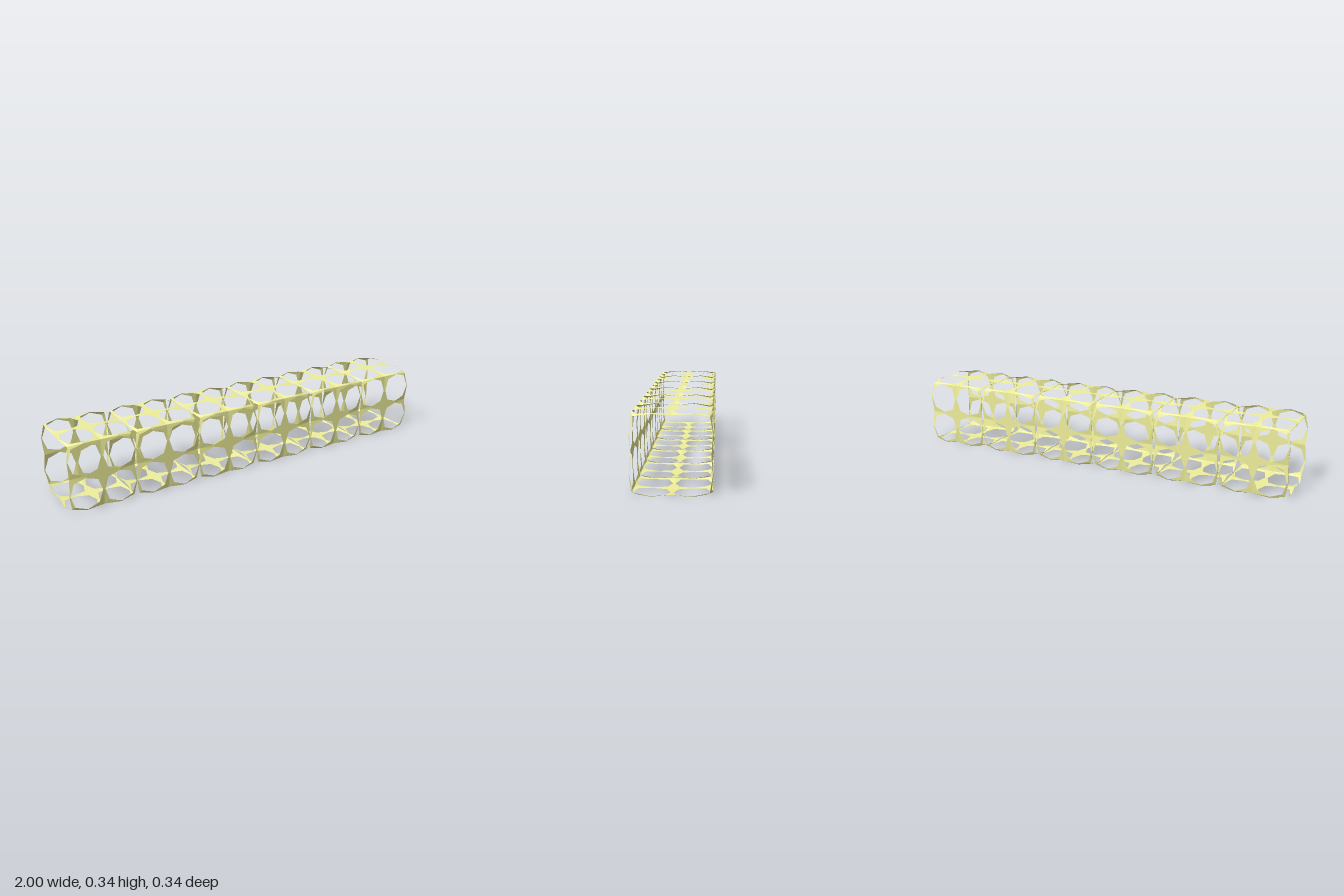
import * as THREE from 'three';

const H = 1 / 6;   // half a cell
const Q = H / 2;   // where the narrow necks sit
const CELLS = 6;

// Points of one quarter of one cell side, as (along, across, outward)
const centre = [0, 0, 0.17], ringMid = [H - 0.007, 0, 0.161];
const longMid = [0, 0.161, 0.161], corner = [H - 0.013, 0.155, 0.155];
// necks between neighbouring holes
const neckA = [Q, 0, 0.17], neckB = [0, Q, 0.17];
const neckRing = [H - 0.001, Q, 0.1685], neckLong = [Q, 0.1665, 0.1665];
const rimNeck = [H, Q, 0.166];
// octagonal hole: four points beside the necks, four towards the star centres
const holeA = [Q, 0.006, 0.17], holeB = [0.006, Q, 0.17];
const holeRing = [H - 0.005, Q, 0.1695], holeLong = [Q, 0.163, 0.169];
const holeCentre = [0.025, 0.025, 0.17], holeRingMid = [H - 0.025, 0.025, 0.166];
const holeLongMid = [0.025, 0.142, 0.166], holeCorner = [H - 0.025, 0.143, 0.163];

// Each fan is a star centre followed by its surrounding points
const fans = [
  [centre, neckA, holeA, holeCentre, holeB, neckB],
  [ringMid, rimNeck, neckRing, holeRing, holeRingMid, holeA, neckA],
  [longMid, neckB, holeB, holeLongMid, holeLong, neckLong],
  [corner, neckLong, holeLong, holeCorner, holeRing, neckRing, rimNeck],
];

function cellGeometry() {
  const positions = [];
  for (let side = 0; side < 4; side++) {
    const c = Math.cos(side * Math.PI / 2), s = Math.sin(side * Math.PI / 2);
    for (const mx of [1, -1]) for (const mu of [1, -1]) {
      // mirror the quarter, then turn it about the long axis
      const put = ([x, u, w]) => positions.push(x * mx, u * mu * c - w * s, u * mu * s + w * c);
      for (const [hub, ...ring] of fans) {
        for (let i = 0; i + 1 < ring.length; i++) {
          const pair = [ring[i], ring[i + 1]];
          if (mx * mu < 0) pair.reverse();
          [hub, ...pair].forEach(put);
        }
      }
    }
  }
  const geometry = new THREE.BufferGeometry();
  geometry.setAttribute('position', new THREE.Float32BufferAttribute(positions, 3));
  geometry.computeVertexNormals();
  return geometry;
}

export function createModel() {
  const group = new THREE.Group();
  group.name = 'latticeBeam';
  const material = new THREE.MeshStandardMaterial({
    color: 0xf0f09c, flatShading: true, side: THREE.DoubleSide,
  });
  const geometry = cellGeometry();
  // Row of identical open cells
  for (let i = 0; i < CELLS; i++) {
    const cell = new THREE.Mesh(geometry, material);
    cell.name = `latticeCell${i + 1}`;
    cell.position.set((i - (CELLS - 1) / 2) * 2 * H, 0.17, 0);
    group.add(cell);
  }
  return group;
}
